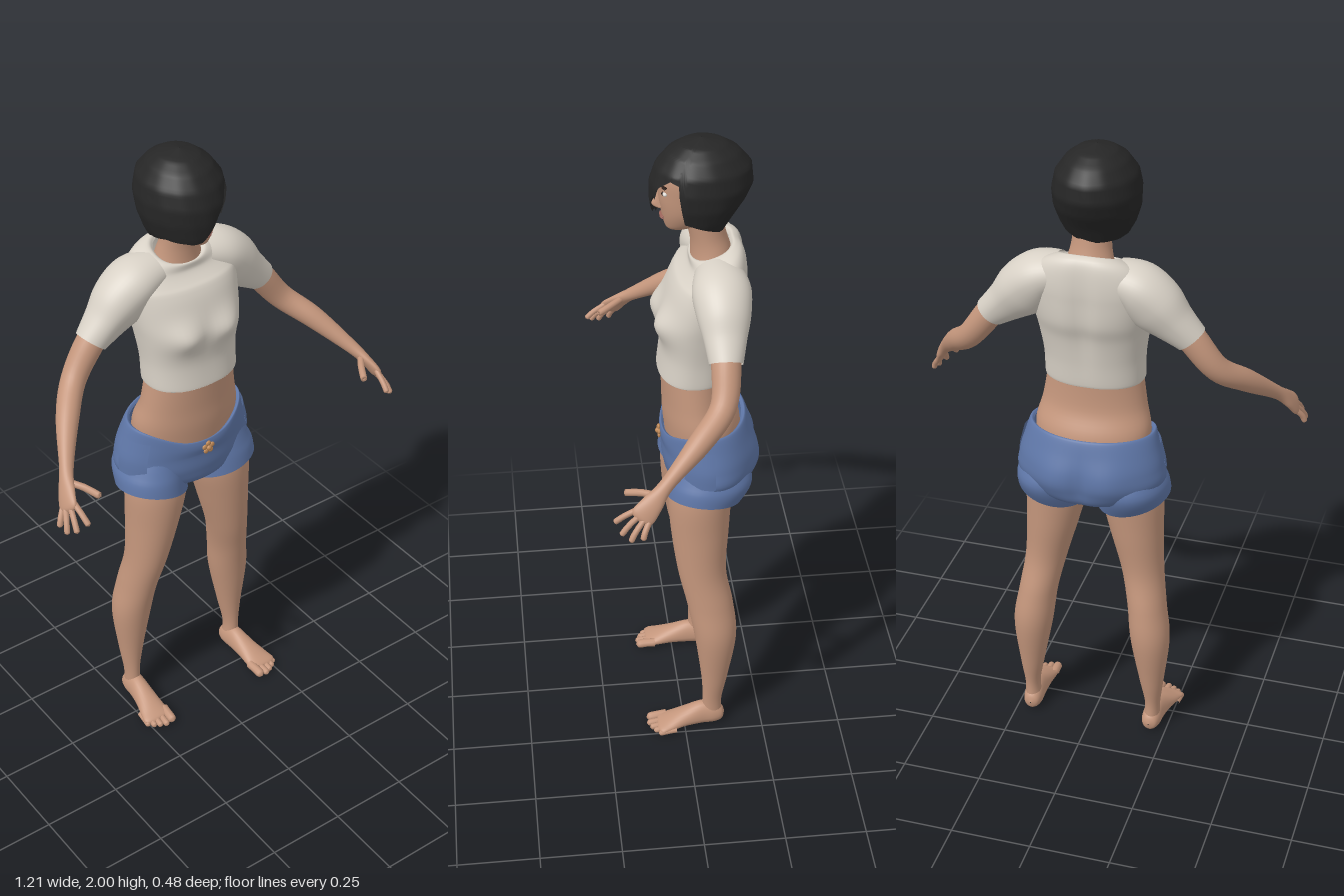
import * as THREE from 'three';

const mat = (name, color, side = THREE.FrontSide) => {
  const m = new THREE.MeshStandardMaterial({ color, side });
  m.name = name;
  return m;
};

// Grid closed around its columns; fn(t, angle) gives a Vector3
function grid(rows, cols, fn) {
  const pos = [], index = [];
  for (let i = 0; i <= rows; i++)
    for (let j = 0; j < cols; j++) pos.push(...fn(i / rows, (j / cols) * Math.PI * 2).toArray());
  for (let i = 0; i < rows; i++)
    for (let j = 0; j < cols; j++) {
      const a = i * cols + j, c = i * cols + ((j + 1) % cols);
      index.push(a, a + cols, c, c, a + cols, c + cols);
    }
  const g = new THREE.BufferGeometry();
  g.setAttribute('position', new THREE.Float32BufferAttribute(pos, 3));
  g.setIndex(index);
  g.computeVertexNormals();
  return g;
}

// Smooth interpolation through a list of sections
function sample(list, t) {
  const n = list.length - 1, k = Math.min(Math.floor(t * n), n - 1), u = t * n - k;
  const at = (i) => list[Math.max(0, Math.min(n, i))];
  return list[k].map((_, d) => {
    const [p, q, r, s] = [at(k - 1)[d], at(k)[d], at(k + 1)[d], at(k + 2)[d]];
    return q + 0.5 * u * (r - p + u * (2 * p - 5 * q + 4 * r - s + u * (3 * (q - r) + s - p)));
  });
}

// Loft through sections [x, y, z, side, front, back]. Level rings run bottom to top;
// with ref given, rings stand square to the path instead.
function loft(list, { cols = 40, steps = 6, ref = null, warp = null, power = 1 } = {}) {
  const sp = (v) => Math.sign(v) * Math.abs(v) ** power;
  return grid((list.length - 1) * steps, cols, (t, a) => {
    const s = sample(list, t);
    let U = new THREE.Vector3(1, 0, 0), W = new THREE.Vector3(0, 0, 1);
    if (ref) {
      const p = sample(list, Math.max(0, t - 0.02)), q = sample(list, Math.min(1, t + 0.02));
      const T = new THREE.Vector3(q[0] - p[0], q[1] - p[1], q[2] - p[2]).normalize();
      U = ref.clone().addScaledVector(T, -ref.dot(T)).normalize();
      W = U.clone().cross(T);
    }
    const c = sp(Math.cos(a)), d = sp(Math.sin(a));
    const P = new THREE.Vector3(s[0], s[1], s[2])
      .addScaledVector(U, c * s[3]).addScaledVector(W, d * (d > 0 ? s[4] : s[5]));
    if (warp) warp(P);
    return P;
  });
}

// Finger or toe through points, with a rounded tip
function digit(points, r, ref) {
  const list = points.map((p) => [...p, r, r, r]);
  const [p, q] = points.slice(-2).map((v) => new THREE.Vector3(...v));
  const d = q.clone().sub(p).normalize();
  list.push([...q.clone().addScaledVector(d, r * 0.6).toArray(), r * 0.75, r * 0.75, r * 0.75]);
  list.push([...q.clone().addScaledVector(d, r).toArray(), 0.0005, 0.0005, 0.0005]);
  return loft(list, { cols: 10, steps: 3, ref });
}

function mirror(geo) {
  const g = geo.clone().scale(-1, 1, 1), ix = g.index.array;
  for (let i = 0; i < ix.length; i += 3) [ix[i], ix[i + 1]] = [ix[i + 1], ix[i]];
  g.computeVertexNormals();
  return g;
}

const clamp = (v) => Math.max(0, Math.min(1, v));
const bump = (x, y, cx, cy, w, h) => Math.exp(-(((x - cx) / w) ** 2) - ((y - cy) / h) ** 2);
const X = new THREE.Vector3(1, 0, 0), Z = new THREE.Vector3(0, 0, 1);

export function createModel() {
  const model = new THREE.Group();
  const skin = mat('skin', 0xc4967c), shirt = mat('shirt cloth', 0xd8d1c6, THREE.DoubleSide);
  const denim = mat('denim', 0x5f77a8, THREE.DoubleSide), hair = mat('hair', 0x262626, THREE.DoubleSide);
  const copper = mat('copper', 0xc08a58), white = mat('eye white', 0xe0dcd6);
  const dark = mat('iris', 0x2c1d17), lip = mat('lips', 0x9a6258);
  const add = (name, geo, m) => {
    const mesh = new THREE.Mesh(geo, m);
    mesh.name = name;
    model.add(mesh);
  };
  const pair = (name, geo, m) => {
    add('left' + name, geo, m);
    add('right' + name, mirror(geo), m);
  };
  const blob = (x, y, z, a, b, c) => new THREE.SphereGeometry(1, 20, 14).scale(a, b, c).translate(x, y, z);

  // Waist, neck and head
  add('waist', loft([[0, 1, -.075, .17, .11, .12], [0, 1.1, -.07, .178, .116, .115],
    [0, 1.18, -.052, .16, .1, .1], [0, 1.29, -.045, .143, .1, .1]]), skin);
  add('neck', loft([[0, 1.61, -.105, .085, .07, .06], [0, 1.66, -.1, .068, .062, .055],
    [0, 1.71, -.085, .058, .052, .055], [0, 1.79, -.07, .056, .06, .055]]), skin);
  add('head', loft([[0, 1.726, .002, .004, .004, .004], [0, 1.73, -.003, .026, .033, .04],
    [0, 1.752, -.02, .047, .06, .06], [0, 1.79, -.032, .064, .08, .08], [0, 1.84, -.05, .073, .106, .1],
    [0, 1.9, -.06, .076, .114, .12], [0, 1.95, -.065, .06, .085, .09], [0, 1.975, -.065, .004, .004, .004]]), skin);
  add('nose', loft([[0, 1.792, .045, .003, .004, .004], [0, 1.797, .045, .015, .018, .015],
    [0, 1.808, .045, .013, .029, .015], [0, 1.835, .042, .009, .02, .015], [0, 1.868, .04, .008, .01, .01]],
    { cols: 16 }), skin);
  pair('Eye', blob(.034, 1.853, .039, .015, .007, .008), white);
  pair('Iris', blob(.034, 1.853, .044, .0065, .0065, .005), dark);
  pair('Brow', blob(.036, 1.875, .041, .02, .0035, .008), dark);
  add('upperLip', blob(0, 1.771, .043, .021, .004, .009), lip);
  add('lowerLip', blob(0, 1.764, .041, .018, .005, .01), lip);

  // Bobbed hair: a dome whose lower edge sweeps diagonally over the face
  const profile = [[1.7, .075, .12, .05], [1.77, .11, .142, .09], [1.82, .125, .149, .125], [1.87, .128, .149, .148],
    [1.92, .118, .132, .142], [1.96, .09, .1, .108], [1.985, .057, .06, .068], [2, .001, .001, .001]];
  const edge = [[-180, 1.72], [-120, 1.735], [-60, 1.768], [-25, 1.76], [-8, 1.765], [10, 1.82], [25, 1.872],
    [45, 1.908], [58, 1.9], [66, 1.78], [90, 1.76], [130, 1.735], [180, 1.72]];
  const lerp = (table, v) => {
    let k = 0;
    while (k < table.length - 2 && v > table[k + 1][0]) k++;
    const u = clamp((v - table[k][0]) / (table[k + 1][0] - table[k][0]));
    return table[k].map((p, d) => p + (table[k + 1][d] - p) * u);
  };
  const shell = (low, scale) => grid(36, 120, (t, a) => {
    const phi = Math.atan2(Math.cos(a), Math.sin(a));
    const e = low(phi * 180 / Math.PI);
    const y = e + (2 - e) * Math.sin(t * Math.PI / 2);
    const [, s, f, b] = lerp(profile, y);
    const k = scale * (1 + 0.008 * Math.sin(phi * 13 + y * 25) * (1 - t));
    return new THREE.Vector3(-.012 + Math.cos(a) * s * k, y, -.07 + Math.sin(a) * (Math.sin(a) > 0 ? f : b) * k);
  });
  const hem = (deg) => lerp(edge, deg)[1];
  add('hair', shell(hem, 1), hair);
  add('hairLining', shell((d) => hem(d) + .002, .93), hair);

  // Cropped shirt with a dipped collar
  add('shirt', loft([[0, 1.29, -.045, .143, .1, .1], [0, 1.262, -.045, .151, .107, .108],
    [0, 1.34, -.05, .153, .104, .112], [0, 1.42, -.06, .164, .118, .116], [0, 1.48, -.07, .174, .117, .125],
    [0, 1.55, -.09, .183, .114, .11], [0, 1.6, -.1, .183, .094, .1], [0, 1.64, -.105, .15, .074, .085],
    [0, 1.668, -.105, .092, .072, .06], [0, 1.66, -.105, .074, .058, .05]], {
    cols: 64, power: 0.88,
    warp: (p) => {
      if (p.z > -.05) p.z += .026 * bump(Math.abs(p.x), p.y, .075, 1.445, .055, .045);
      if (p.z < -.1) p.z += .012 * bump(p.x, p.y, 0, 1.5, .03, .15);
      p.y -= (p.z + .105) * .42 * clamp((p.y - 1.58) / .07);
    },
  }), shirt);
  pair('Sleeve', loft([[.08, 1.615, -.11, .07, .055, .05], [.15, 1.595, -.11, .085, .07, .085],
    [.21, 1.55, -.11, .078, .07, .098], [.26, 1.5, -.108, .062, .052, .078],
    [.305, 1.447, -.105, .049, .048, .05]], { ref: Z }), shirt);

  // Arms and hands
  pair('Arm', loft([[.23, 1.53, -.105, .042, .042, .042], [.305, 1.447, -.105, .043, .043, .044],
    [.38, 1.352, -.088, .038, .036, .04], [.45, 1.285, -.015, .034, .034, .034], [.522, 1.203, .085, .021, .021, .021],
    [.552, 1.16, .13, .031, .016, .015], [.569, 1.127, .162, .034, .012, .012],
    [.574, 1.118, .17, .001, .001, .001]], { cols: 28, ref: Z }), skin);
  const fingers = [
    [[.556, 1.146, .175], [.553, 1.125, .21], [.55, 1.107, .232]],
    [[.566, 1.132, .17], [.574, 1.105, .2], [.578, 1.084, .217]],
    [[.574, 1.122, .157], [.589, 1.092, .182], [.595, 1.072, .193]],
    [[.577, 1.115, .143], [.592, 1.094, .155], [.598, 1.078, .16]],
    [[.54, 1.178, .115], [.51, 1.17, .155], [.488, 1.158, .195]]];
  fingers.forEach((f, i) => pair(i < 4 ? 'Finger' + (i + 1) : 'Thumb', digit(f, i < 4 ? .0088 : .0105, Z), skin));

  // Shorts: hips, leg openings and side pockets
  add('shorts', loft([[0, .868, -.08, .01, .01, .01], [0, .885, -.085, .15, .11, .12], [0, .94, -.09, .225, .137, .143],
    [0, 1, -.093, .224, .143, .143], [0, 1.06, -.088, .208, .143, .133], [0, 1.105, -.075, .194, .127, .13],
    [0, 1.1, -.075, .182, .117, .118]], {
    cols: 64,
    warp: (p) => {
      if (p.z < -.12) p.z -= .014 * bump(Math.abs(p.x), p.y, .085, .97, .06, .07) - .008 * bump(p.x, p.y, 0, .95, .02, .08);
      p.y -= .055 * clamp((p.y - 1) / .1) * clamp((p.z + .07) / .11) * (1 - clamp(Math.abs(p.x) / .2) ** 2);
    },
  }), denim);
  pair('ShortsLeg', loft([[.128, .865, -.065, .112, .113, .116], [.125, .93, -.075, .108, .115, .14],
    [.11, 1, -.08, .09, .1, .1]], {
    warp: (p) => { p.y += ((p.x - .128) * .22 + (p.z + .065) * .13) * clamp((.95 - p.y) / .08); },
  }), denim);
  const pocket = new THREE.CylinderGeometry(1, 1, .12, 12, 6, true, Math.PI * .3, Math.PI * .2);
  const pp = pocket.attributes.position;
  for (let i = 0; i < pp.count; i++) {
    const y = 1.01 + pp.getY(i), w = .231 - Math.max(0, y - 1) * .26;
    pp.setXYZ(i, pp.getX(i) * w, y, -.09 + pp.getZ(i) * .15);
  }
  pocket.computeVertexNormals();
  pair('Pocket', pocket, denim);

  // Flower-shaped button
  add('buttonCentre', blob(0, 1.025, .06, .009, .009, .008), copper);
  for (let i = 0; i < 5; i++) {
    const a = Math.PI / 2 + i * Math.PI * .4;
    add('buttonPetal', blob(.014 * Math.cos(a), 1.025 + .014 * Math.sin(a), .057, .009, .009, .005), copper);
  }

  // Legs, feet and toes
  pair('Leg', loft([[.2, .03, -.088, .028, .033, .036], [.203, .1, -.09, .024, .03, .031], [.2, .2, -.097, .039, .042, .043],
    [.193, .36, -.098, .062, .064, .068], [.178, .48, -.085, .061, .073, .071], [.157, .6, -.062, .066, .077, .073],
    [.135, .74, -.058, .083, .092, .086], [.12, .86, -.055, .097, .096, .098], [.115, .95, -.06, .09, .09, .1]]), skin);
  pair('Foot', loft([[.2, .035, -.131, .002, .002, .002], [.2, .035, -.122, .022, .025, .025],
    [.201, .035, -.095, .031, .033, .045], [.203, .034, -.055, .032, .031, .05], [.208, .03, 0, .037, .027, .033],
    [.214, .021, .05, .045, .019, .02], [.217, .016, .082, .045, .014, .011], [.217, .015, .09, .002, .002, .002]],
    { cols: 28, ref: X }), skin);
  [[.181, .107, .0145], [.205, .112, .0105], [.224, .104, .01], [.241, .094, .0095], [.256, .08, .009]].forEach(
    ([x, z, r], i) => pair('Toe' + (i + 1),
      digit([[x - .003, r + .006, z - .05], [x, r + .004, z - .02], [x + .001, r + .001, z]], r, X), skin));
  return model;
}
